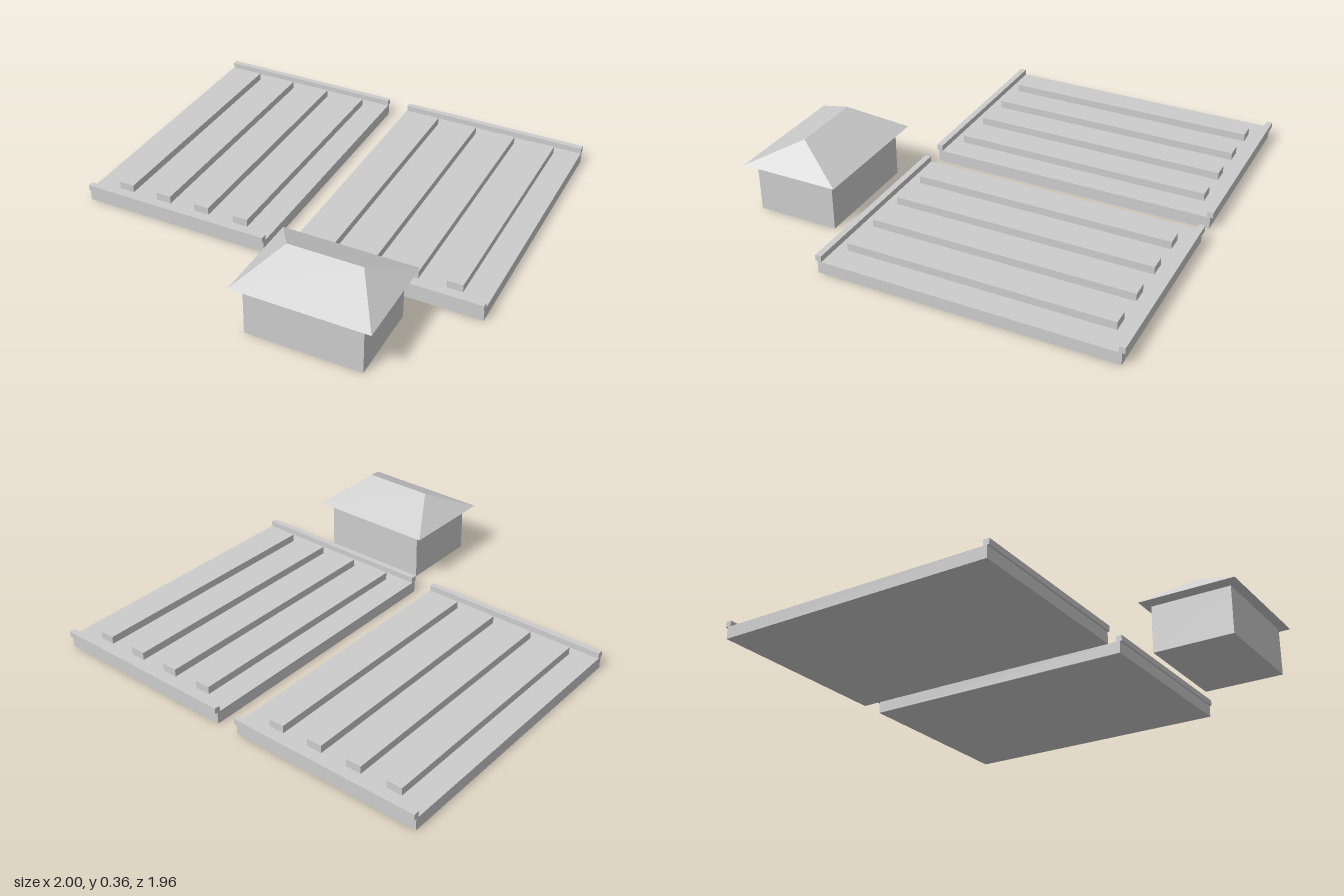
import * as THREE from 'three';

const material = new THREE.MeshStandardMaterial({ color: 0xcccccc });
material.name = 'pale grey';

// Box given by its minimum and maximum on each axis
function box(name, [x0, x1], [y0, y1], [z0, z1]) {
  const geometry = new THREE.BoxGeometry(x1 - x0, y1 - y0, z1 - z0);
  geometry.translate((x0 + x1) / 2, (y0 + y1) / 2, (z0 + z1) / 2);
  const mesh = new THREE.Mesh(geometry, material);
  mesh.name = name;
  return mesh;
}

// Hipped roof: a box whose top is pinched into a ridge along x
function hipRoof(width, height, depth, ridge) {
  const geometry = new THREE.BoxGeometry(width, height, depth).toNonIndexed();
  const p = geometry.attributes.position;
  for (let i = 0; i < p.count; i++) {
    if (p.getY(i) > 0) {
      p.setX(i, Math.sign(p.getX(i)) * ridge / 2);
      p.setZ(i, 0);
    }
  }
  geometry.computeVertexNormals();
  const mesh = new THREE.Mesh(geometry, material);
  mesh.name = 'hipRoof';
  return mesh;
}

// Flat slab with capped ends and four long raised strips
function platform(name, x) {
  const group = new THREE.Group();
  group.name = name;
  group.add(box('slab', [-0.472, 0.472], [0, 0.058], [-0.967, 0.417]));
  group.add(box('backCap', [-0.472, 0.472], [0.058, 0.086], [-0.98, -0.952]));
  group.add(box('frontCap', [-0.472, 0.472], [0.058, 0.086], [0.398, 0.427]));
  for (let i = 0; i < 4; i++) {
    const c = -0.311 + i * 0.207;
    group.add(box('raisedStrip', [c - 0.038, c + 0.038], [0.058, 0.095], [-0.896, 0.346]));
  }
  group.position.x = x;
  return group;
}

export function createModel() {
  const model = new THREE.Group();
  model.name = 'buildingComplex';
  model.add(platform('rightPlatform', -0.528), platform('leftPlatform', 0.528));

  // Small house with its roof just clear of the walls
  const house = new THREE.Group();
  house.name = 'house';
  house.add(box('houseWalls', [0.138, 0.685], [0, 0.231], [0.541, 0.936]));
  const roof = hipRoof(0.642, 0.118, 0.478, 0.35);
  roof.position.set(0.412, 0.302, 0.737);
  house.add(roof);
  model.add(house);
  return model;
}
